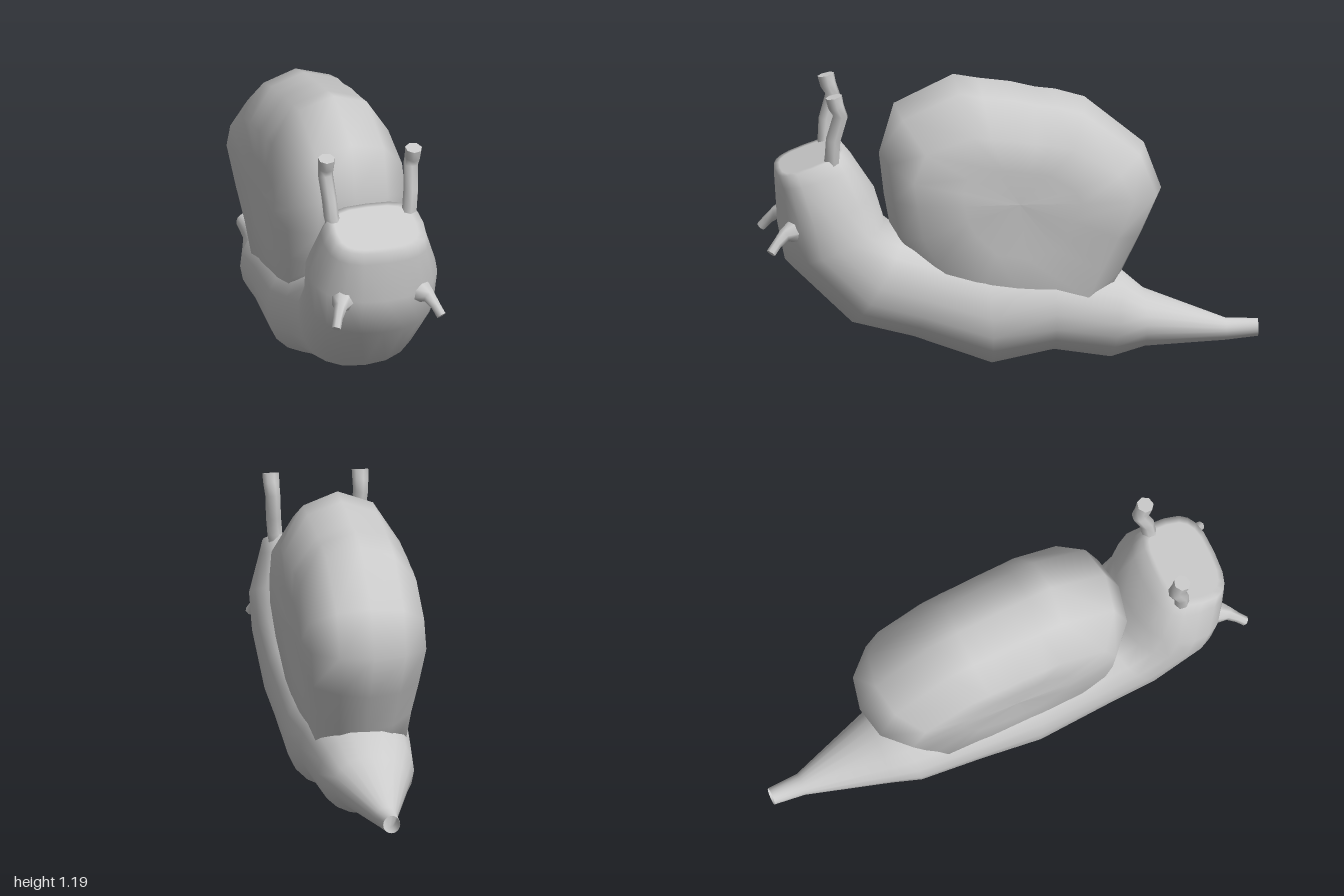
import * as THREE from 'three';

const material = new THREE.MeshStandardMaterial({ color: 0xcccccc, side: THREE.DoubleSide });
const V = (x, y, z) => new THREE.Vector3(x, y, z);

// Skin a smooth surface over a list of closed rings
function loft(name, rings) {
  const n = rings[0].length;
  const index = [];
  for (let i = 0; i < rings.length - 1; i++) {
    for (let j = 0; j < n; j++) {
      const k = (j + 1) % n;
      const a = i * n + j, b = i * n + k;
      index.push(a, b, a + n, b, b + n, a + n);
    }
  }
  const geometry = new THREE.BufferGeometry().setFromPoints(rings.flat());
  geometry.setIndex(index);
  geometry.computeVertexNormals();
  const mesh = new THREE.Mesh(geometry, material);
  mesh.name = name;
  return mesh;
}

// Rounded ring spanning from a bottom to a top point; a lower power is squarer
function bodyRing([bz, by, tz, ty, w, power], scale = 1, sides = 20) {
  const soft = (v) => Math.sign(v) * Math.abs(v) ** power;
  return Array.from({ length: sides }, (_, j) => {
    const a = (j / sides) * Math.PI * 2;
    const s = soft(Math.sin(a)) * scale;
    return V(soft(Math.cos(a)) * w * scale,
      (by + ty) / 2 + s * (ty - by) / 2, (bz + tz) / 2 + s * (tz - bz) / 2);
  });
}

// Bent, tapering stalk with a closed tip
function stalk(name, points, radii, sides = 7) {
  const rings = points.map((p, i) => {
    const before = points[Math.max(i - 1, 0)];
    const after = points[Math.min(i + 1, points.length - 1)];
    const turn = new THREE.Quaternion().setFromUnitVectors(V(0, 0, 1), after.clone().sub(before).normalize());
    return Array.from({ length: sides }, (_, j) => {
      const a = (j / sides) * Math.PI * 2;
      return V(Math.cos(a), Math.sin(a), 0).multiplyScalar(radii[i]).applyQuaternion(turn).add(p);
    });
  });
  const rim = rings[rings.length - 1];
  const group = new THREE.Group();
  group.name = name;
  group.add(loft(name + 'Stem', rings),
    loft(name + 'Tip', [rim, rim.map(() => points[points.length - 1].clone())]));
  return group;
}

export function createModel() {
  const model = new THREE.Group();
  model.name = 'snail';

  // Body sections, tail to head: bottom z, bottom y, top z, top y, half width, power
  const sections = [
    [-1, 0.075, -1, 0.147, 0.035, 1],
    [-0.87, 0.062, -0.87, 0.152, 0.045, 1],
    [-0.54, 0.05, -0.54, 0.28, 0.155, 1],
    [-0.4, 0.01, -0.45, 0.36, 0.195, 0.98],
    [-0.17, 0.05, -0.17, 0.42, 0.225, 0.92],
    [0.08, 0, 0.1, 0.45, 0.238, 0.88],
    [0.4, 0.12, 0.3, 0.5, 0.242, 0.85],
    [0.65, 0.185, 0.44, 0.545, 0.245, 0.85],
    [0.91, 0.44, 0.51, 0.6, 0.262, 0.9],
    [0.94, 0.59, 0.55, 0.73, 0.268, 0.9],
    [0.95, 0.76, 0.63, 0.85, 0.215, 0.72],
    [0.95, 0.81, 0.68, 0.91, 0.197, 0.65],
  ];
  // The crown of the head closes the front end with a soft edge
  const crown = sections[sections.length - 1];
  model.add(loft('body', [
    ...sections.map((s) => bodyRing(s)), bodyRing(crown, 0.85), bodyRing(crown, 0),
  ]));

  // Shell outline (z, y), front base over the top and back beneath the body
  const outline = [
    [0.48, 0.54], [0.51, 0.7], [0.53, 0.87], [0.47, 1.075], [0.23, 1.19], [0.13, 1.172],
    [0, 1.155], [-0.1, 1.13], [-0.18, 1.12], [-0.3, 1.085], [-0.54, 0.89], [-0.61, 0.7],
    [-0.53, 0.52], [-0.45, 0.36], [-0.38, 0.22], [-0.1, 0.14], [0.2, 0.2], [0.4, 0.4],
  ];
  // Half width, then outline scale along z, upward and downward; middle of side to rim
  const side = [
    [0.238, 0, 0, 0], [0.246, 0.42, 0.3, 0.42], [0.246, 0.78, 0.58, 0.85],
    [0.143, 0.95, 0.9, 0.95], [0, 1, 1, 1],
  ];
  const slices = [...side, ...side.slice(0, -1).reverse().map(([x, ...s]) => [-x, ...s])];
  model.add(loft('shell', slices.map(([x, along, up, down]) => outline.map(([z, y]) => {
    const height = 0.7 + (y - 0.7) * (y > 0.7 ? up : down);
    const depth = -0.02 + (z + 0.02) * along;
    // The flanks narrow towards the back and where the shell sinks into the body
    const tuck = 1 - 0.22 * THREE.MathUtils.clamp((0.68 - height) / 0.34, 0, 1);
    return V(x * tuck * (0.985 + 0.06 * Math.min(depth, 0.25)), height, depth);
  }))));

  // Eye stalks and small mouth feelers on both sides
  for (const [label, m] of [['left', 1], ['right', -1]]) {
    model.add(stalk(label + 'EyeStalk', [
      V(0.158 * m, 0.86, 0.735), V(0.166 * m, 0.9, 0.732), V(0.172 * m, 0.97, 0.728),
      V(0.18 * m, 1.07, 0.7), V(0.182 * m, 1.11, 0.718), V(0.183 * m, 1.152, 0.728),
    ], [0.032, 0.031, 0.031, 0.031, 0.033, 0.035]));
    model.add(stalk(label + 'Feeler', [
      V(0.13 * m, 0.595, 0.83), V(0.16 * m, 0.595, 0.88), V(0.187 * m, 0.583, 0.928),
      V(0.207 * m, 0.55, 0.96), V(0.222 * m, 0.518, 0.985),
    ], [0.085, 0.055, 0.028, 0.02, 0.02]));
  }
  return model;
}
